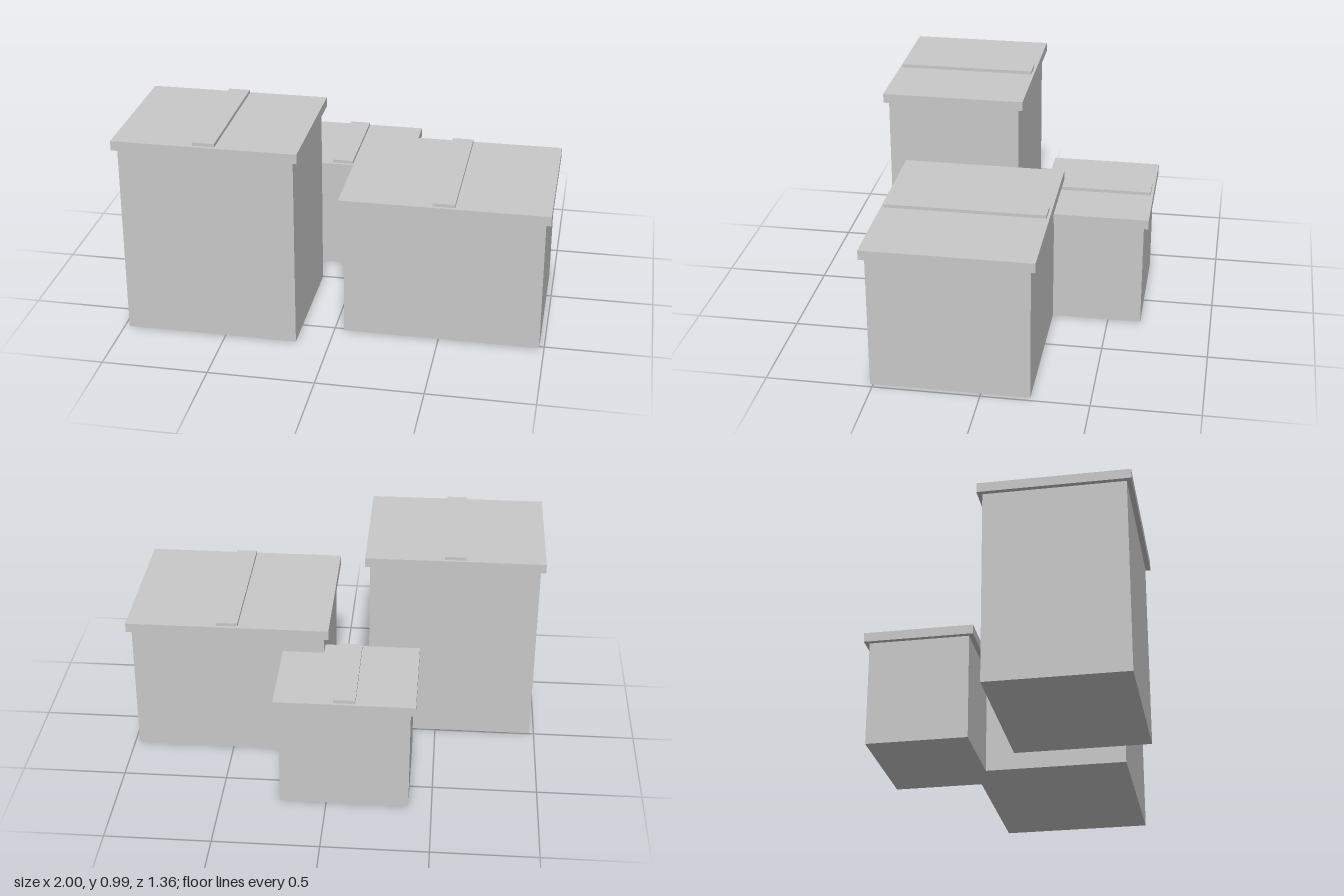
import * as THREE from 'three';

const lightGrey = new THREE.MeshStandardMaterial({ color: 0xc8c8c8 });
lightGrey.name = 'light grey';

// Box between two heights, centred on the crate's own axis
function slab(name, w, d, y0, y1) {
  const mesh = new THREE.Mesh(new THREE.BoxGeometry(w, y1 - y0, d), lightGrey);
  mesh.name = name;
  mesh.position.y = (y0 + y1) / 2;
  return mesh;
}

// Crate with an overhanging lid and a thin strip along z
function crate({ name, x, z, w, d, h }) {
  const group = new THREE.Group();
  group.name = name;
  group.position.set(x, 0, z);
  group.add(
    slab('body', w, d, 0, h),
    slab('lid', w + 0.046, d + 0.046, h, h + 0.046),
    slab('lidStrip', 0.103, d + 0.02, h + 0.047, h + 0.063),
  );
  return group;
}

export function createModel() {
  const model = new THREE.Group();
  model.name = 'crateGroup';
  const crates = [
    { name: 'tallCrate', x: -0.568, z: 0.332, w: 0.818, d: 0.654, h: 0.931 },
    { name: 'wideCrate', x: 0.511, z: 0.144, w: 0.932, d: 0.742, h: 0.652 },
    { name: 'smallCrate', x: -0.085, z: -0.415, w: 0.611, d: 0.488, h: 0.521 },
  ];
  for (const c of crates) model.add(crate(c));
  return model;
}
